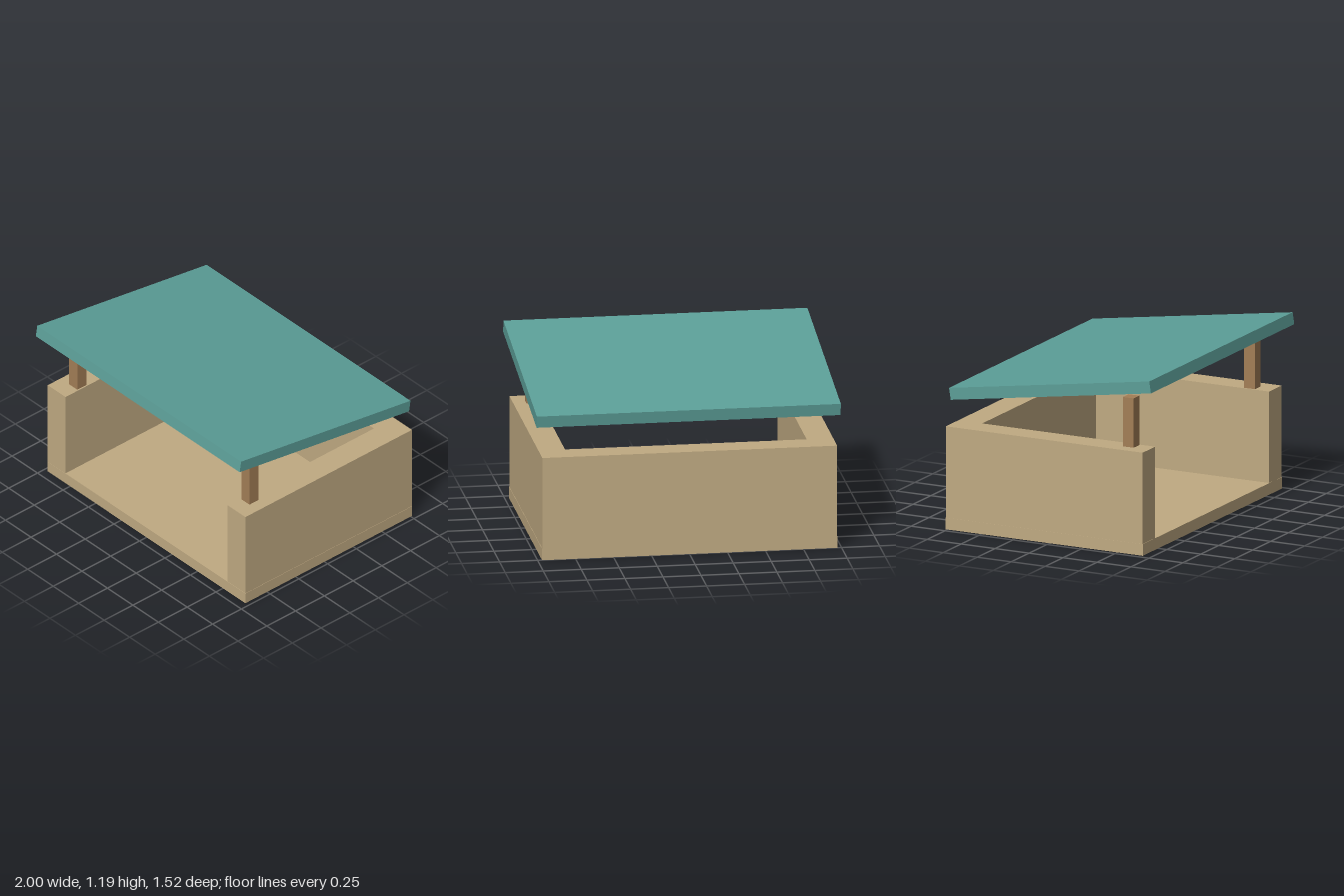
import * as THREE from 'three';

export function createModel() {
  const model = new THREE.Group();
  const tan = new THREE.MeshStandardMaterial({ color: 0xc0aa82 });
  const wood = new THREE.MeshStandardMaterial({ color: 0xa37e56 });
  const teal = new THREE.MeshStandardMaterial({ color: 0x5c9f98 });

  // Box given by its lower and upper corners
  function block(name, material, [x0, y0, z0], [x1, y1, z1], parent = model) {
    const mesh = new THREE.Mesh(new THREE.BoxGeometry(x1 - x0, y1 - y0, z1 - z0), material);
    mesh.position.set((x0 + x1) / 2, (y0 + y1) / 2, (z0 + z1) / 2);
    mesh.name = name;
    parent.add(mesh);
    return mesh;
  }

  // Open-fronted tub: floor, back wall and two side walls
  const tub = new THREE.Group();
  tub.name = 'tub';
  model.add(tub);
  block('floor', tan, [-0.972, 0.002, -0.76], [0.972, 0.08, 0.69], tub);
  block('backWall', tan, [-0.795, 0.08, -0.76], [0.795, 0.695, -0.585], tub);

  for (const [side, s] of [['left', 1], ['right', -1]]) {
    const wall = block(side + 'Wall', tan, [0.795, 0.08, -0.76], [0.97, 0.695, 0.688], tub);
    wall.position.x *= s;
    // Posts run through the walls down to the ground
    const post = block(side + 'Post', wood, [0.805, 0, 0.497], [0.885, 1.027, 0.577]);
    post.position.x *= s;
  }

  // Sloping roof panel, higher at the front
  const roof = new THREE.Mesh(new THREE.BoxGeometry(2, 0.08, 1.49), teal);
  roof.name = 'roof';
  roof.position.set(0, 1.038, 0.022);
  roof.rotation.x = -0.151;
  model.add(roof);

  return model;
}
